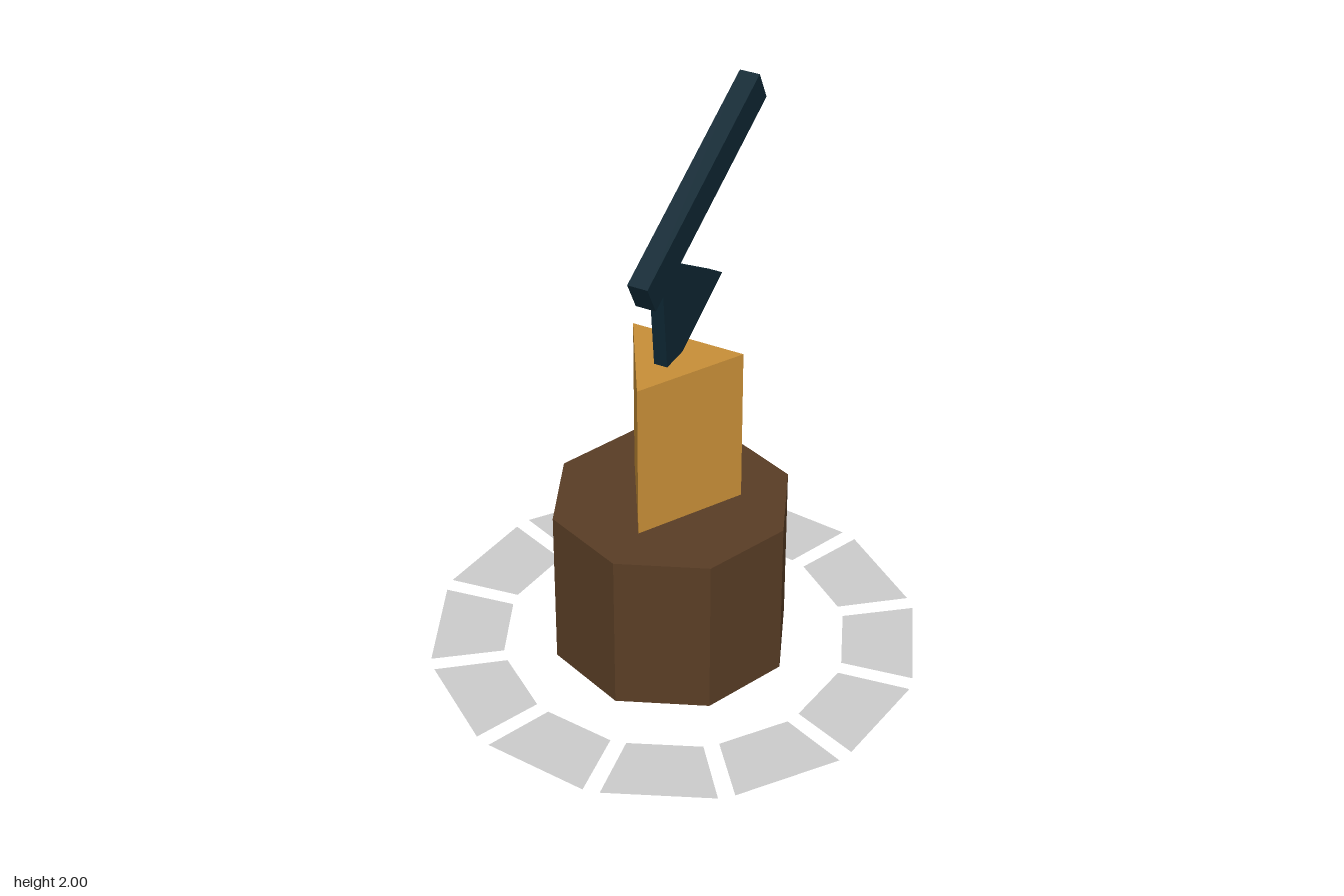
import * as THREE from 'three';

const mat = (name, color, extra = {}) => {
  const m = new THREE.MeshStandardMaterial({ color, ...extra });
  m.name = name;
  return m;
};

const shapeOf = (pts) => new THREE.Shape(pts.map(([a, b]) => new THREE.Vector2(a, b)));

// Shape drawn in plan as (x, z), laid flat facing up
const plan = (pts) => shapeOf(pts.map(([x, z]) => [x, -z]));

export function createModel() {
  const root = new THREE.Group();
  root.name = 'choppingBlock';
  const bark = mat('dark brown wood', 0x593d25);
  const split = mat('golden wood', 0xc88f38);
  const steel = mat('dark blue steel', 0x0e2733);
  const stone = mat('light grey stone', 0xcccccc, { side: THREE.DoubleSide });

  const add = (parent, name, geometry, material) => {
    const mesh = new THREE.Mesh(geometry, material);
    mesh.name = name;
    parent.add(mesh);
    return mesh;
  };

  // Octagonal stump
  const stumpGeo = new THREE.CylinderGeometry(0.434, 0.434, 0.61, 8).toNonIndexed();
  stumpGeo.computeVertexNormals();
  const stump = add(root, 'stump', stumpGeo, bark);
  stump.position.set(-0.015, 0.305, -0.002);
  stump.rotation.y = THREE.MathUtils.degToRad(9);

  // Triangular split log standing on the stump
  const logGeo = new THREE.ExtrudeGeometry(
    plan([[-0.245, -0.09], [0.02, 0.24], [0.175, -0.155]]),
    { depth: 0.59, bevelEnabled: false });
  logGeo.rotateX(-Math.PI / 2);
  add(root, 'splitLog', logGeo, split).position.y = 0.61;

  // Axe: local x runs forward along the blade plane
  const axe = new THREE.Group();
  axe.name = 'axe';
  axe.position.set(-0.061, 0, -0.217);
  axe.rotation.y = -1.421;
  root.add(axe);

  const handle = add(axe, 'axeHandle', new THREE.BoxGeometry(0.91, 0.125, 0.075), steel);
  handle.position.y = 1.736;
  handle.rotation.z = THREE.MathUtils.degToRad(-27.2);

  // Wedge-shaped head, its lower corner sunk into the log
  const headGeo = new THREE.ExtrudeGeometry(
    shapeOf([[-0.118, 1.355], [0.284, 1.145], [0.318, 1.52], [0.25, 1.59]]),
    { depth: 0.05, bevelEnabled: false });
  add(axe, 'axeHead', headGeo, steel).position.z = -0.033;

  // Ring of flat paving stones
  const ring = new THREE.Group();
  ring.name = 'stoneRing';
  root.add(ring);
  const tileGeo = new THREE.ShapeGeometry(
    plan([[-0.16, 0.87], [0.24, 0.855], [0.165, 0.602], [-0.102, 0.612]]));
  tileGeo.rotateX(-Math.PI / 2);
  for (let i = 0; i < 12; i++) {
    add(ring, 'pavingStone', tileGeo, stone).rotation.y = (i * Math.PI) / 6;
  }
  return root;
}
